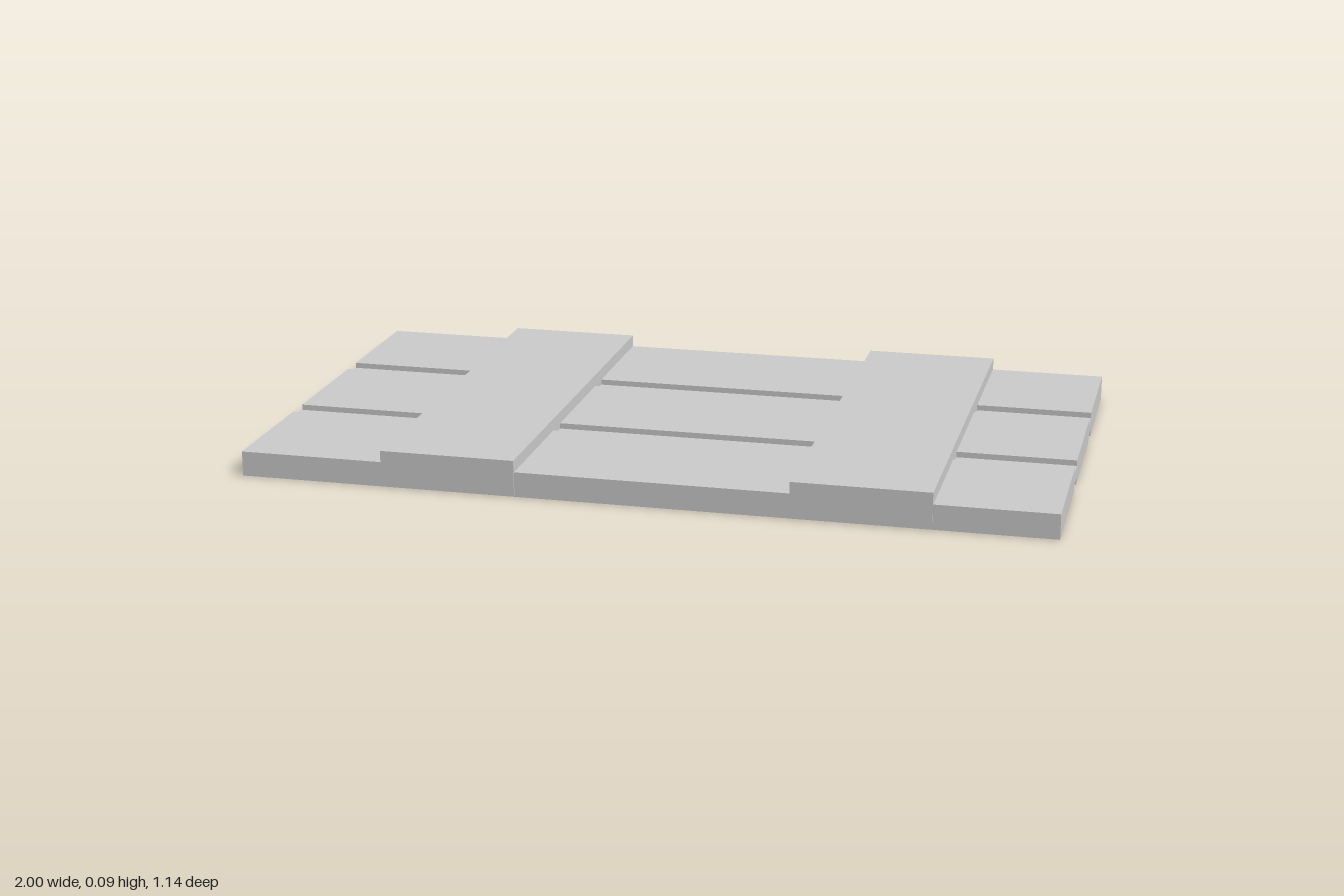
import * as THREE from 'three';

export function createModel() {
  const model = new THREE.Group();
  const material = new THREE.MeshStandardMaterial({ color: 0xcccccc, flatShading: true });

  // Box given by its limits on each axis
  function block(name, [x0, x1], [y0, y1], [z0, z1]) {
    const mesh = new THREE.Mesh(new THREE.BoxGeometry(x1 - x0, y1 - y0, z1 - z0), material);
    mesh.position.set((x0 + x1) / 2, (y0 + y1) / 2, (z0 + z1) / 2);
    mesh.name = name;
    model.add(mesh);
  }

  const length = [-1, 1];
  const plankHeight = [0, 0.062];

  // Three long planks
  block('middlePlank', length, plankHeight, [-0.17, 0.167]);
  block('frontPlank', length, plankHeight, [0.229, 0.567]);
  block('backPlank', length, plankHeight, [-0.567, -0.231]);

  // Thin recessed strips joining the planks
  block('frontJoint', length, [0.017, 0.048], [0.167, 0.229]);
  block('backJoint', length, [0.017, 0.048], [-0.231, -0.17]);

  // Raised cross battens that wrap around the plank edges
  block('rightBatten', [-0.64, -0.304], [0.004, 0.092], [-0.571, 0.571]);
  block('leftBatten', [0.369, 0.706], [0.004, 0.092], [-0.571, 0.571]);

  return model;
}
